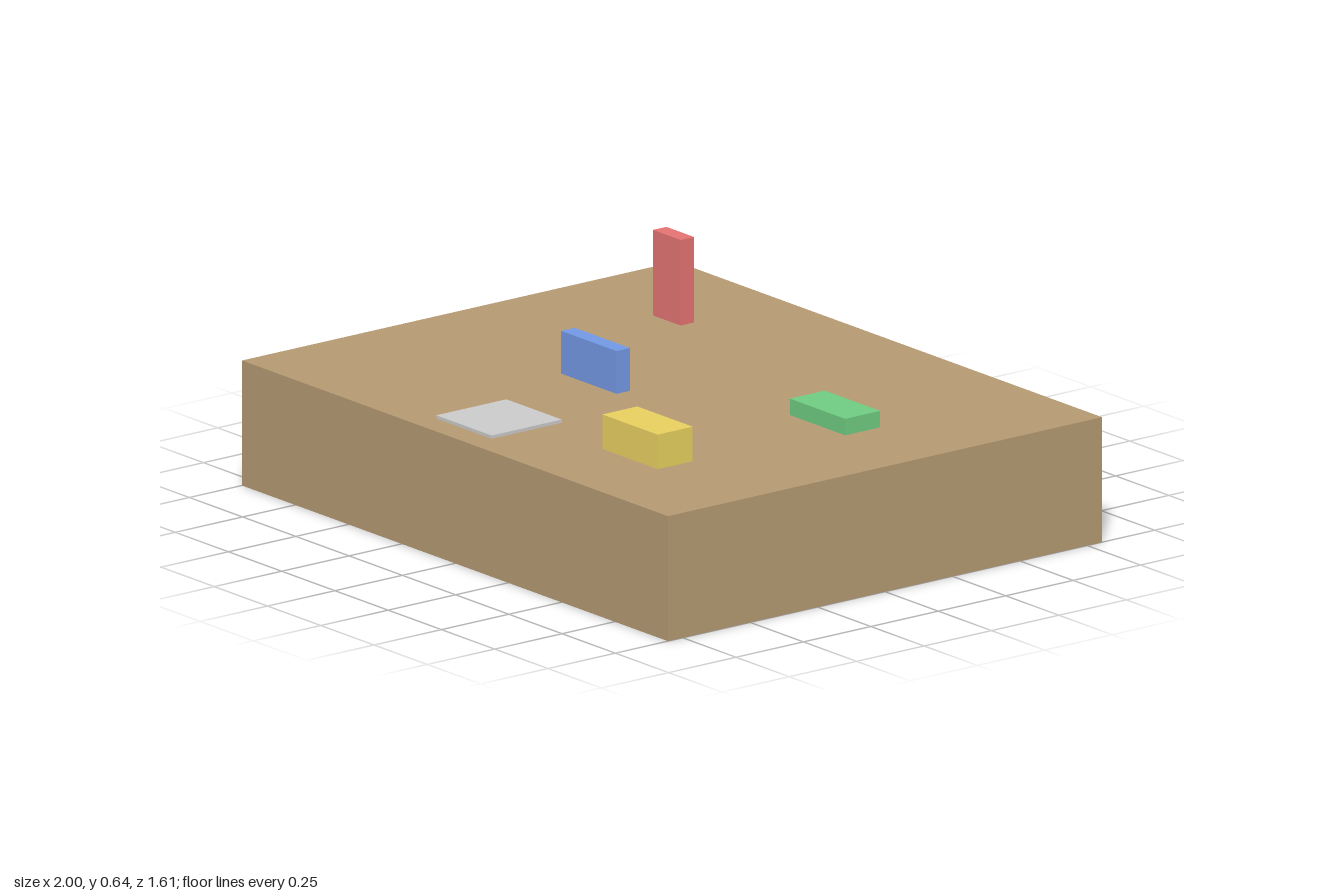
import * as THREE from 'three';

const SLAB_TOP = 0.38;

export function createModel() {
  const model = new THREE.Group();

  // Box standing on height y, centred on (x, z)
  function block(name, color, [w, h, d], x, y, z) {
    const mesh = new THREE.Mesh(
      new THREE.BoxGeometry(w, h, d),
      new THREE.MeshStandardMaterial({ color })
    );
    mesh.name = name;
    mesh.position.set(x, y + h / 2, z);
    model.add(mesh);
  }

  // Thick base slab
  block('baseSlab', 0xb59a73, [2, SLAB_TOP, 1.61], 0, 0, 0);

  // Blocks resting on the slab
  block('tallRedBlock', 0xe57373, [0.13, 0.26, 0.05], -0.55, SLAB_TOP, -0.44);
  block('blueBlock', 0x7399e5, [0.26, 0.13, 0.05], -0.19, SLAB_TOP, 0.133);
  block('greenBlock', 0x70cc82, [0.26, 0.05, 0.13], 0.55, SLAB_TOP, -0.17);
  block('yellowBlock', 0xe8d160, [0.26, 0.105, 0.13], 0.48, SLAB_TOP, 0.47);
  block('greyTile', 0xcccccc, [0.26, 0.01, 0.26], -0.06, SLAB_TOP, 0.594);

  return model;
}
